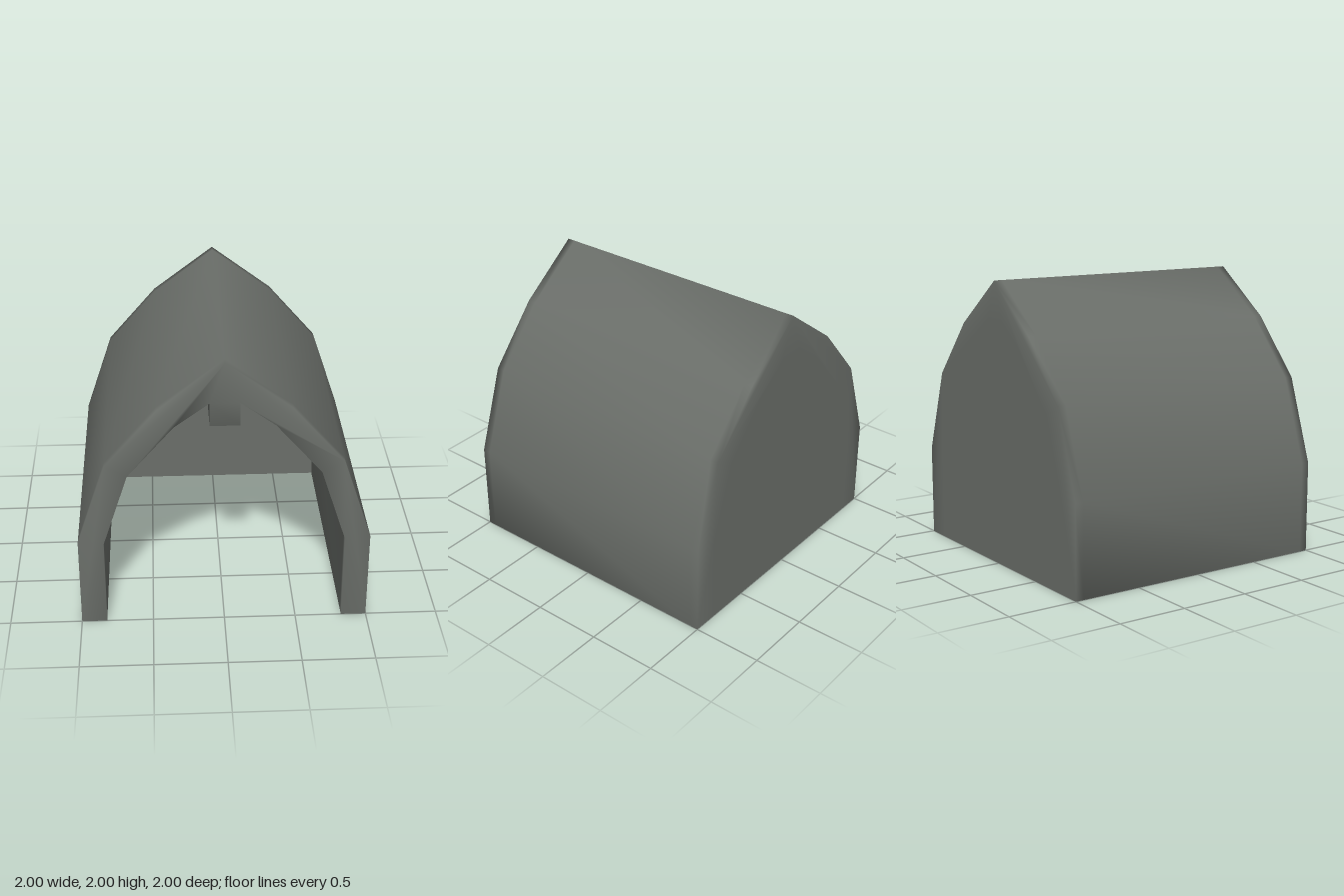
import * as THREE from 'three';

const DEPTH = 1;       // half length along z
const EDGE = 0.06;     // support loop distance / back wall thickness

// right half of the arch, bottom to top
const OUTER = [[1, 0], [1, 0.655], [0.8, 1.255], [0.445, 1.665]];
const INNER = [[0.825, 0], [0.825, 0.64], [0.65, 1.175], [0.335, 1.54], [0.1, 1.71], [0.1, 1.545]];

const mirror = (pts) => pts.map(([x, y]) => [-x, y]).reverse();
const vectors = (pts) => pts.map(([x, y]) => new THREE.Vector2(x, y));

// Welded prism through several z rings, so the normals run smoothly round every edge
function shellGeometry(profile, rings) {
  const n = profile.length;
  const positions = [];
  const index = [];
  for (const z of rings) for (const p of profile) positions.push(p.x, p.y, z);
  for (let r = 0; r < rings.length - 1; r++) {
    for (let i = 0; i < n; i++) {
      const a = r * n + i, b = r * n + (i + 1) % n;
      index.push(a, b, b + n, a, b + n, a + n);
    }
  }
  const last = (rings.length - 1) * n;
  for (const [a, b, c] of THREE.ShapeUtils.triangulateShape(profile, [])) {
    index.push(a, c, b);                       // back end
    index.push(last + a, last + b, last + c);  // front end
  }
  const geometry = new THREE.BufferGeometry();
  geometry.setAttribute('position', new THREE.Float32BufferAttribute(positions, 3));
  geometry.setIndex(index);
  geometry.computeVertexNormals();
  return geometry;
}

export function createModel() {
  const group = new THREE.Group();
  group.name = 'archedShelter';
  const grey = new THREE.MeshStandardMaterial({ color: 0x6a6e69 });
  grey.name = 'greyCanvas';

  // arched shell with the ridge beam hanging under its peak
  const inside = [...INNER, ...mirror(INNER)];
  const profile = vectors([...OUTER, [0, 2], ...mirror(OUTER), ...[...inside].reverse()]);
  const shell = shellGeometry(profile, [-DEPTH, -DEPTH + EDGE, DEPTH - EDGE, DEPTH]);

  // the inner rim at the back runs flat into the wall
  const outerCount = OUTER.length * 2 + 1;
  for (let i = outerCount; i < profile.length; i++) shell.attributes.normal.setXYZ(i, 0, 0, -1);
  const arch = new THREE.Mesh(shell, grey);
  arch.name = 'archShell';
  group.add(arch);

  // back wall closing the arch
  const wallShape = new THREE.Shape(vectors(inside));
  const wall = new THREE.Mesh(
    new THREE.ExtrudeGeometry(wallShape, { depth: EDGE, bevelEnabled: false }), grey);
  wall.position.z = -DEPTH;
  wall.name = 'backWall';
  group.add(wall);

  return group;
}
